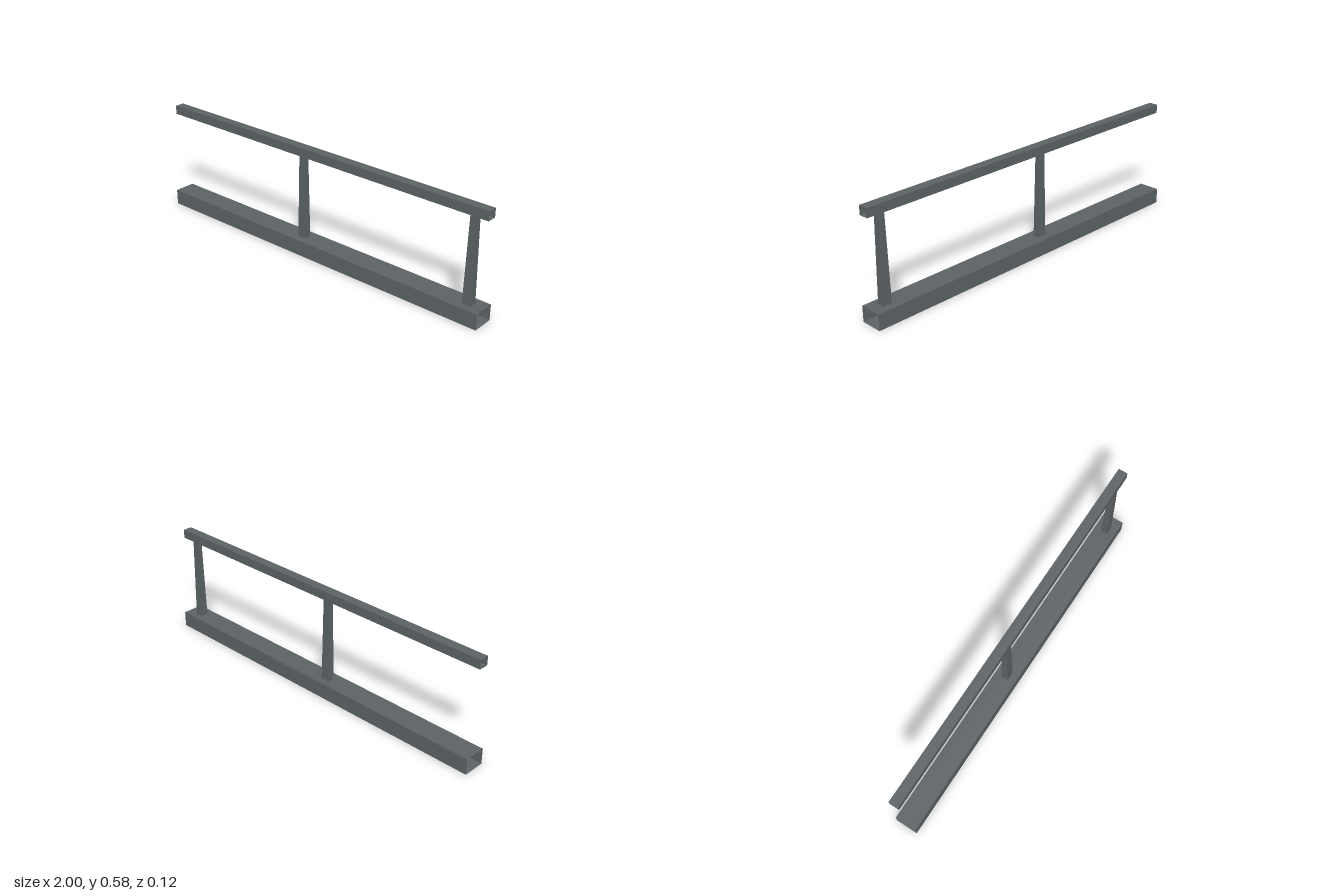
import * as THREE from 'three';

const material = new THREE.MeshStandardMaterial({ color: 0x5c6265, flatShading: true, side: THREE.DoubleSide });

// Open-ended four-sided sleeve along y, with unit side length at the bottom
function sleeve(taper, height) {
  const r = Math.SQRT1_2;
  return new THREE.CylinderGeometry(r * taper, r, height, 4, 1, true).rotateY(Math.PI / 4);
}

// Hollow beam running the full length in x, open at both ends
function beam(name, y0, y1, depth) {
  const geometry = sleeve(1, 2).rotateZ(Math.PI / 2).scale(1, y1 - y0, depth);
  const mesh = new THREE.Mesh(geometry, material);
  mesh.position.y = (y0 + y1) / 2;
  mesh.name = name;
  return mesh;
}

export function createModel() {
  const group = new THREE.Group();
  group.name = 'railing';

  const baseTop = 0.083, railBottom = 0.533;
  group.add(beam('baseBeam', 0, baseTop, 0.116));
  group.add(beam('handRail', railBottom, 0.58, 0.05));

  // Tapered posts between the beam and the rail
  const height = railBottom - baseTop;
  const postGeometry = sleeve(0.72, height).scale(0.048, 1, 0.038);
  [-0.081, 0.918].forEach((x, i) => {
    const post = new THREE.Mesh(postGeometry, material);
    post.position.set(x, baseTop + height / 2, 0);
    post.name = i ? 'endPost' : 'middlePost';
    group.add(post);
  });

  return group;
}
